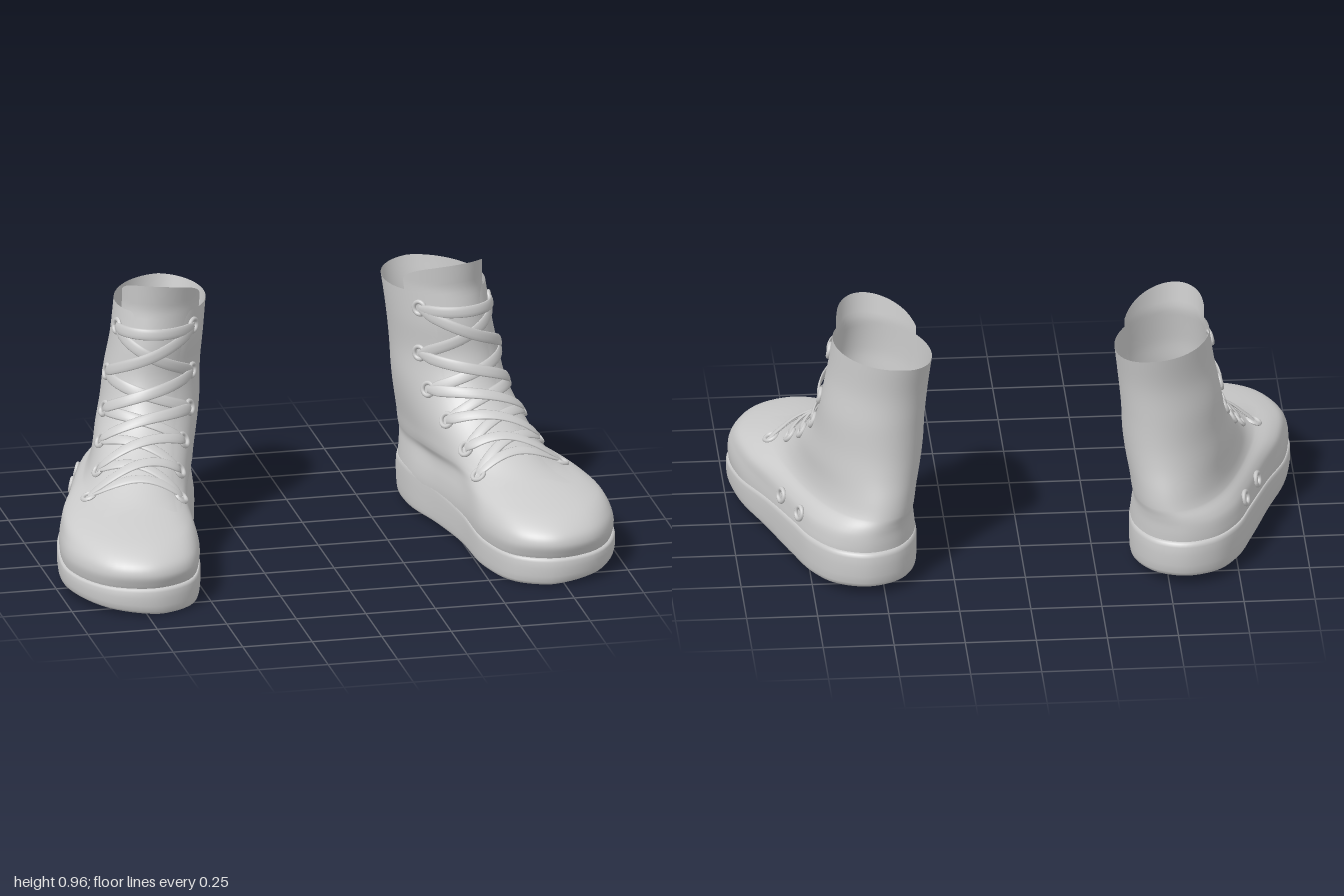
import * as THREE from 'three';
import { mergeGeometries, mergeVertices } from 'three/addons/utils/BufferGeometryUtils.js';

const { lerp, clamp, smoothstep } = THREE.MathUtils;
const PI = Math.PI;
const material = new THREE.MeshStandardMaterial({ color: 0xcccccc, side: THREE.DoubleSide });

// Sole outline (x, z): toe tip, outer side, heel, inner side
const outline = new THREE.CatmullRomCurve3([
  [.725, .612], [.88, .553], [.982, .36], [.965, .12], [.885, -.11], [.81, -.33], [.75, -.48], [.665, -.58],
  [.555, -.615], [.45, -.57], [.385, -.45], [.385, -.28], [.44, -.09], [.485, .12], [.51, .37], [.585, .548],
].map(([x, z]) => new THREE.Vector3(x, 0, z)), true);
const axisX = z => 0.64 + 0.17 * z;
const outlineAt = a => outline.getPoint((((a / (2 * PI)) % 1) + 1) % 1);

// Levels of the upper: y, front z, back z, ellipse centre x, ellipse half width, ellipse share, outline scale
const LEVELS = [
  [.08, .59, -.59, .60, .20, 0, .95],
  [.11, .607, -.598, .60, .20, 0, .98],
  [.15, .618, -.603, .60, .20, 0, .99],
  [.19, .595, -.605, .60, .20, .03, .975],
  [.23, .52, -.603, .60, .20, .12, .945],
  [.255, .42, -.60, .595, .197, .32, .91],
  [.285, .28, -.593, .58, .19, .66, .86],
  [.34, .155, -.58, .565, .184, .82, .83],
  [.42, .02, -.558, .55, .184, .93, .84],
  [.50, -.065, -.545, .538, .18, 1, .86],
  [.61, -.115, -.54, .525, .174, 1, .86],
  [.73, -.12, -.54, .507, .168, 1, .86],
  [.86, -.135, -.56, .49, .166, 1, .86],
];
const TOP = 0.86, GAP = PI / 6;

// Smooth interpolation of one level column
function level(y, c) {
  const L = LEVELS, n = L.length;
  let i = 0;
  while (i < n - 2 && y > L[i + 1][0]) i++;
  const slope = k => {
    const a = L[Math.max(k - 1, 0)], b = L[Math.min(k + 1, n - 1)];
    return (b[c] - a[c]) / (b[0] - a[0]);
  };
  const h = L[i + 1][0] - L[i][0], t = clamp((y - L[i][0]) / h, 0, 1), s = 1 - t;
  return s * s * (1 + 2 * t) * L[i][c] + t * t * (3 - 2 * t) * L[i + 1][c]
    + h * (t * s * s * slope(i) - t * t * s * slope(i + 1));
}

// Point on the upper at height y and angle a (0 = front, positive = outer side)
function surface(y, a) {
  const [zf, zb, cx, hw, b, s] = [1, 2, 3, 4, 5, 6].map(c => level(y, c));
  const o = outlineAt(a), half = (zf - zb) / 2, ez = half * Math.cos(a);
  const x = axisX(o.z) + (o.x - axisX(o.z)) * s;
  const z = lerp(zb, zf, (o.z + 0.615) / 1.227);
  return new THREE.Vector3(lerp(x, cx + hw * Math.sin(a) + 0.2 * ez, b), y, lerp(z, (zf + zb) / 2 + ez, b));
}
function normal(y, a) {
  const v = clamp(y, 0.085, TOP - 0.005), e = 0.004;
  const du = surface(v, a + 0.02).sub(surface(v, a - 0.02));
  return du.cross(surface(v + e, a).sub(surface(v - e, a))).normalize();
}
const offset = (y, a, d) => surface(y, a).addScaledVector(normal(y, a), d);

// Angle where the given side of the upper reaches depth z
function angleAt(y, z, side) {
  let lo = 0, hi = PI;
  for (let i = 0; i < 30; i++) {
    const m = (lo + hi) / 2;
    if (surface(y, side * m).z > z) lo = m; else hi = m;
  }
  return side * lo;
}

// Grid of nu x nv cells from fn(u, v)
function grid(nu, nv, fn) {
  const pos = [], idx = [];
  for (let j = 0; j <= nv; j++) for (let i = 0; i <= nu; i++) pos.push(...fn(i / nu, j / nv).toArray());
  for (let j = 0; j < nv; j++) for (let i = 0; i < nu; i++) {
    const a = j * (nu + 1) + i, c = a + nu + 1;
    idx.push(a, a + 1, c, a + 1, c + 1, c);
  }
  const g = new THREE.BufferGeometry();
  g.setAttribute('position', new THREE.Float32BufferAttribute(pos, 3));
  g.setIndex(idx);
  return g;
}
function smooth(...parts) {
  const g = mergeVertices(mergeGeometries(parts), 1e-5);
  g.computeVertexNormals();
  return g;
}

// Vamp is a full ring; the shaft above it leaves the throat open at the front
function upperGeometry() {
  const fromFront = a => Math.acos(clamp(Math.cos(a), -1, 1));
  // The toe cap edge runs nearly straight across the throat
  const split = a => 0.285 - 0.02 * Math.exp(-(((fromFront(a) - 0.55) / 0.22) ** 2));
  // The collar dips on the inner side and rounds off at the throat
  const collar = a => TOP - 0.005 - 0.018 * Math.max(0, -Math.sin(a))
    - 0.045 * clamp(1 - (fromFront(a) - GAP) / 0.2, 0, 1) ** 2;
  return smooth(
    grid(96, 30, (u, v) => {
      const a = lerp(-PI, PI, u);
      return surface(lerp(0.08, split(a), v), a);
    }),
    grid(80, 36, (u, v) => {
      const a = lerp(GAP, 2 * PI - GAP, u);
      return surface(lerp(split(a), collar(a), v), a);
    }));
}

// The tongue rises above the collar, higher towards the outer side
function tongueGeometry() {
  return smooth(grid(28, 40, (u, v) => {
    const k = u * 2 - 1, a = k * 1.15;
    const y = lerp(0.252, 0.957 - 0.04 * (k - 0.25) ** 2 - 0.015 * k ** 8, v);
    const p = offset(Math.min(y, TOP), a, -0.012);
    if (y > TOP) p.z += 0.15 * (y - TOP);
    p.y = y > TOP ? y : p.y;
    return p;
  }));
}

// Sole as rings: outline scale and height share
function soleGeometry() {
  const rings = [[0, 0], [.5, 0], [.95, 0], [.975, .01], [.99, .05], [1, .14], [1.008, .35],
    [1.01, .65], [1.008, .88], [1, .97], [.985, 1], [.94, 1], [0, .95]];
  return smooth(grid(96, rings.length - 1, (u, v) => {
    const [s, h] = rings[Math.round(v * (rings.length - 1))];
    const o = outlineAt(u * 2 * PI), z = o.z * s, x = axisX(z) + (o.x - axisX(o.z)) * s;
    const bottom = 0.033 * clamp((0.55 - z) / 1.15, 0, 1) + 0.09 * Math.max(0, x - 0.7);
    const top = 0.1 + 0.068 * (1 - smoothstep(z, -0.4, 0.5));
    return new THREE.Vector3(x, lerp(bottom, top, h), z);
  }));
}

function eyeletGeometry(y, a) {
  const g = new THREE.TorusGeometry(0.023, 0.008, 8, 24);
  g.applyQuaternion(new THREE.Quaternion().setFromUnitVectors(new THREE.Vector3(0, 0, 1), normal(y, a)));
  const p = offset(y, a, 0.003);
  return g.translate(p.x, p.y, p.z);
}

// Flat lace from one eyelet to another, arching over the throat
function laceGeometry(A, B, lift) {
  const rise = 0.06 * clamp((0.62 - (A.y + B.y) / 2) / 0.3, 0, 1);
  const at = t => {
    const b = Math.sin(PI * clamp(t, 0, 1)), y = lerp(A.y, B.y, t) + rise * b, a = lerp(A.a, B.a, t);
    return { p: offset(y, a, 0.004 + lift * Math.sqrt(b)), n: normal(y, a) };
  };
  return smooth(grid(10, 28, (u, v) => {
    const { p, n } = at(v);
    const T = at(Math.min(v + 0.02, 1)).p.sub(at(Math.max(v - 0.02, 0)).p).normalize();
    const S = n.clone().cross(T).normalize(), f = u * 2 * PI;
    const w = 0.012 + 0.008 * Math.min(1, Math.sin(PI * v) * 3);
    return p.addScaledVector(S, w * Math.cos(f)).addScaledVector(n, 0.005 * Math.sin(f));
  }));
}

function mirrored(geometry) {
  const g = geometry.clone().scale(-1, 1, 1), idx = g.index.array;
  for (let i = 0; i < idx.length; i += 3) [idx[i], idx[i + 1]] = [idx[i + 1], idx[i]];
  g.computeVertexNormals();
  return g;
}

export function createModel() {
  const left = new THREE.Group(), right = new THREE.Group(), pair = new THREE.Group();
  left.name = 'leftBoot';
  right.name = 'rightBoot';
  pair.name = 'boots';
  // Each part goes on the left boot and, mirrored, on the right one
  const add = (name, geometry) => [[left, geometry], [right, mirrored(geometry)]].forEach(([boot, g]) => {
    const m = new THREE.Mesh(g, material);
    m.name = name;
    boot.add(m);
  });
  add('sole', soleGeometry());
  add('upper', upperGeometry());
  add('tongue', tongueGeometry());

  // Six lace eyelets per side, and two vents low on the outer side
  const rows = [[.28, .105], [.34, 0], [.41, -.11], [.495, -.2], [.615, -.25], [.785, -.24]];
  const outer = rows.map(([y, z]) => ({ y, a: angleAt(y, z, 1) }));
  const inner = rows.map(([y, z]) => ({ y, a: angleAt(y, z + 0.05 + 0.12 * Math.max(0, 0.5 - y), -1) }));
  [...outer, ...inner].forEach(e => add('laceEyelet', eyeletGeometry(e.y, e.a)));
  [-0.22, -0.365].forEach(z => add('ventEyelet', eyeletGeometry(0.215, angleAt(0.215, z, 1))));

  // Bars at both ends and crossings between the rows
  add('laceBar', laceGeometry(outer[0], inner[0], 0.009));
  add('laceBar', laceGeometry(outer[5], inner[5], 0.019));
  for (let i = 0; i < 5; i++) {
    add('laceCross', laceGeometry(outer[i], inner[i + 1], 0.019));
    add('laceCross', laceGeometry(inner[i], outer[i + 1], 0.009));
  }
  pair.add(left, right);
  return pair;
}
